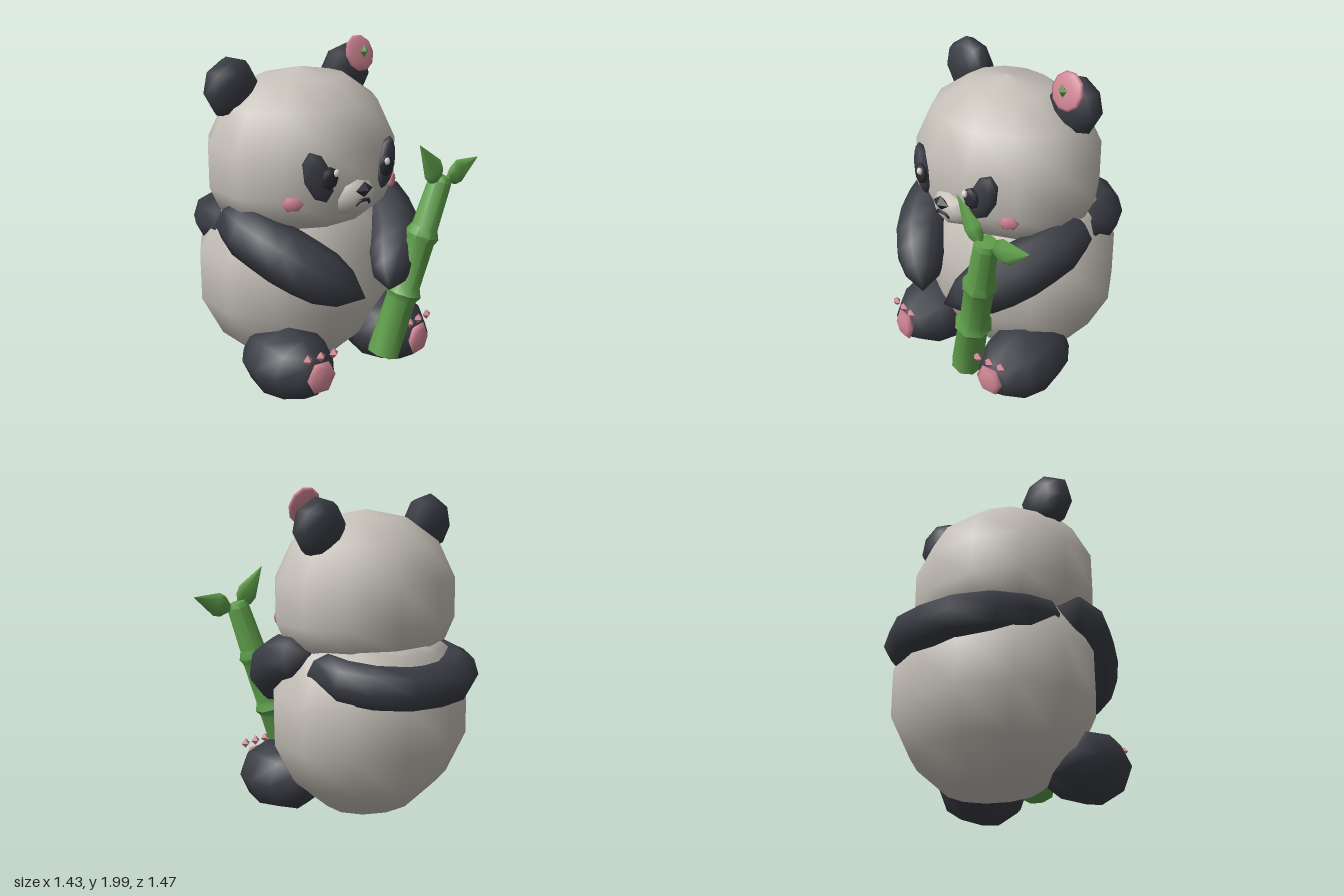
import * as THREE from 'three';
import { mergeVertices, toCreasedNormals } from 'three/addons/utils/BufferGeometryUtils.js';

const mat = (name, color) => Object.assign(new THREE.MeshStandardMaterial({ color }), { name });
const V = (x, y, z) => new THREE.Vector3(x, y, z);

export function createModel() {
  const fur = mat('pale fur', 0xc4bfb7);
  const dark = mat('dark fur', 0x3a3c44);
  const eyeBlack = mat('eye black', 0x2b2c33);
  const pink = mat('pink', 0xd08593);
  const green = mat('bamboo green', 0x5f9f4b);
  const white = mat('eye white', 0xe4e2de);

  const model = new THREE.Group();
  model.name = 'panda';
  const add = (name, geo, material, parent = model) => {
    const mesh = new THREE.Mesh(geo, material);
    mesh.name = name;
    parent.add(mesh);
    return mesh;
  };

  // Squashed low-poly ball with its poles along z
  const ball = (name, material, pos, size, rot = [0, 0, 0], around = 8, rings = 6) => {
    const geo = new THREE.SphereGeometry(1, around, rings);
    geo.rotateX(Math.PI / 2);
    geo.scale(...size);
    const mesh = add(name, geo, material);
    mesh.position.set(...pos);
    mesh.rotation.set(...rot);
    return mesh;
  };

  // Upright turned shape with an elliptical cross-section
  const turned = (profile, sides, sx = 1, sz = 1) => {
    const geo = new THREE.LatheGeometry(profile.map(p => new THREE.Vector2(...p)), sides);
    geo.rotateY(Math.PI / sides);
    geo.scale(sx, 1, sz);
    return geo;
  };

  // Tube along a curve whose thickness varies ring by ring
  const limb = (name, material, points, radii, sides = 8) => {
    const curve = new THREE.CatmullRomCurve3(points);
    const n = radii.length - 1;
    let geo = new THREE.TubeGeometry(curve, n, 1, sides);
    const pos = geo.attributes.position;
    const v = new THREE.Vector3();
    for (let i = 0; i <= n; i++) {
      const c = curve.getPointAt(i / n);
      for (let j = 0; j <= sides; j++) {
        const k = i * (sides + 1) + j;
        v.fromBufferAttribute(pos, k).sub(c).multiplyScalar(radii[i]).add(c);
        pos.setXYZ(k, v.x, v.y, v.z);
      }
    }
    geo.deleteAttribute('uv');
    geo.deleteAttribute('normal');
    geo = mergeVertices(geo, 1e-4);
    geo.computeVertexNormals();
    return add(name, geo, material);
  };

  // Body and head
  const body = add('body', turned([[0, 0.005], [0.46, 0.065], [0.8, 0.25], [1, 0.5], [1, 0.79],
    [0.8, 1.04], [0.64, 1.1], [0, 1.11]], 12, 0.635, 0.542), fur);
  body.position.set(-0.065, 0, -0.075);
  const head = add('head', turned([[0, 0.97], [0.72, 1.0], [0.9, 1.08], [1, 1.21], [1, 1.45],
    [0.81, 1.67], [0.46, 1.81], [0, 1.86]], 12, 0.583, 0.505), fur);
  head.position.set(-0.087, 0, 0);

  for (const s of [-1, 1]) {
    const side = s < 0 ? 'right' : 'left';

    // Ears, eye patches, eyes and cheeks
    const hx = d => -0.085 + s * d;
    ball(side + 'Ear', dark, [hx(0.42), 1.77, -0.1], [0.172, 0.178, 0.108], [0, 0, -s * 0.15]);
    ball(side + 'EyePatch', dark, [hx(0.25), 1.345, 0.455], [0.08, 0.152, 0.045], [0, s * 0.4, -s * 0.33 * -1 * -1]);
    ball(side + 'Eye', eyeBlack, [hx(0.208), 1.345, 0.505], [0.052, 0.066, 0.028], [0, s * 0.15, 0]);
    ball(side + 'EyeGlint', white, [hx(0.186), 1.378, 0.535], [0.019, 0.024, 0.014], [0, 0, 0], 6, 4);
    ball(side + 'Cheek', pink, [hx(0.37), 1.2, 0.385], [0.062, 0.045, 0.02], [0, s * 0.6, 0], 6, 4);

    // Arms reaching forward
    const ax = d => -0.068 + s * d;
    limb(side + 'Arm', dark, [V(ax(0.46), 1.04, -0.12), V(ax(0.5), 1.0, 0.1), V(ax(0.37), 0.86, 0.4),
      V(ax(0.17), 0.71, 0.59), V(ax(0.09), 0.66, 0.66)], [0, 0.13, 0.155, 0.16, 0.168, 0.165, 0.155, 0.11, 0]);

    // Feet with pads and toes
    const fx = -0.05 + s * 0.382;
    ball(side + 'Foot', dark, [fx, 0.22, 0.3], [0.247, 0.217, 0.312]);
    ball(side + 'FootPad', pink, [fx + 0.003, 0.235, 0.605], [0.092, 0.105, 0.035], [0, s * 0.15, 0], 6, 4);
    for (const t of [-1, 0, 1]) {
      const toe = add(side + 'ToePad', new THREE.OctahedronGeometry(0.032), pink);
      toe.position.set(fx + t * 0.083, 0.365, 0.602 - s * t * 0.012);
      toe.scale.z = 0.8;
    }
  }

  // Dark band across the back
  limb('backBand', dark, [V(-0.48, 1.0, 0.0), V(-0.49, 0.93, -0.28), V(-0.34, 0.9, -0.54), V(-0.07, 0.89, -0.61),
    V(0.2, 0.9, -0.54), V(0.35, 0.93, -0.28), V(0.34, 1.0, 0.0)],
  [0, 0.12, 0.132, 0.132, 0.132, 0.132, 0.132, 0.132, 0.132, 0.12, 0]);

  // Snout, nose and mouth
  ball('snout', fur, [-0.08, 1.195, 0.43], [0.158, 0.117, 0.12], [-0.15, 0, 0]);
  const nose = add('nose', new THREE.OctahedronGeometry(1), eyeBlack);
  nose.scale.set(0.062, 0.045, 0.035);
  nose.position.set(-0.082, 1.253, 0.55);
  const smile = new THREE.CatmullRomCurve3([V(-0.05, -0.015, -0.012), V(-0.03, 0.008, 0), V(0, 0.012, 0.004),
    V(0.03, 0.008, 0), V(0.05, -0.015, -0.012)]);
  add('mouth', new THREE.TubeGeometry(smile, 8, 0.011, 5), eyeBlack).position.set(-0.082, 1.182, 0.546);

  // Flower on the left ear
  ball('flower', pink, [0.36, 1.89, 0.004], [0.11, 0.112, 0.022], [-0.3, 0, 0], 10, 6);
  const centre = add('flowerCentre', new THREE.OctahedronGeometry(0.038), green);
  centre.position.set(0.36, 1.905, 0.045);
  centre.scale.set(0.75, 1, 0.65);

  // Bamboo stalk with two swollen joints
  const foot = V(0.09, 0.2, 0.553), top = V(0.405, 1.265, 0.668);
  const axis = top.clone().sub(foot);
  const stalk = add('bambooStalk', toCreasedNormals(turned([[0, 0], [0.098, 0], [0.092, 0.36], [0.113, 0.4],
    [0.09, 0.45], [0.087, 0.72], [0.103, 0.76], [0.08, 0.81], [0.07, 1.09], [0.055, 1.12], [0, 1.125]], 8), 0.8), green);
  stalk.position.copy(foot);
  stalk.quaternion.setFromUnitVectors(V(0, 1, 0), axis.normalize());

  // Flat pointed leaves
  for (const [x, y, z, turn, length] of [[0.39, 1.22, 0.682, 0.62, 0.325], [0.43, 1.225, 0.668, -1.22, 0.3]]) {
    const leaf = add('bambooLeaf', turned([[0, 0], [0.065, 0.08], [0.075, 0.13], [0, length]], 6, 1, 0.45), green);
    leaf.position.set(x, y, z);
    leaf.rotation.z = turn;
  }
  return model;
}
